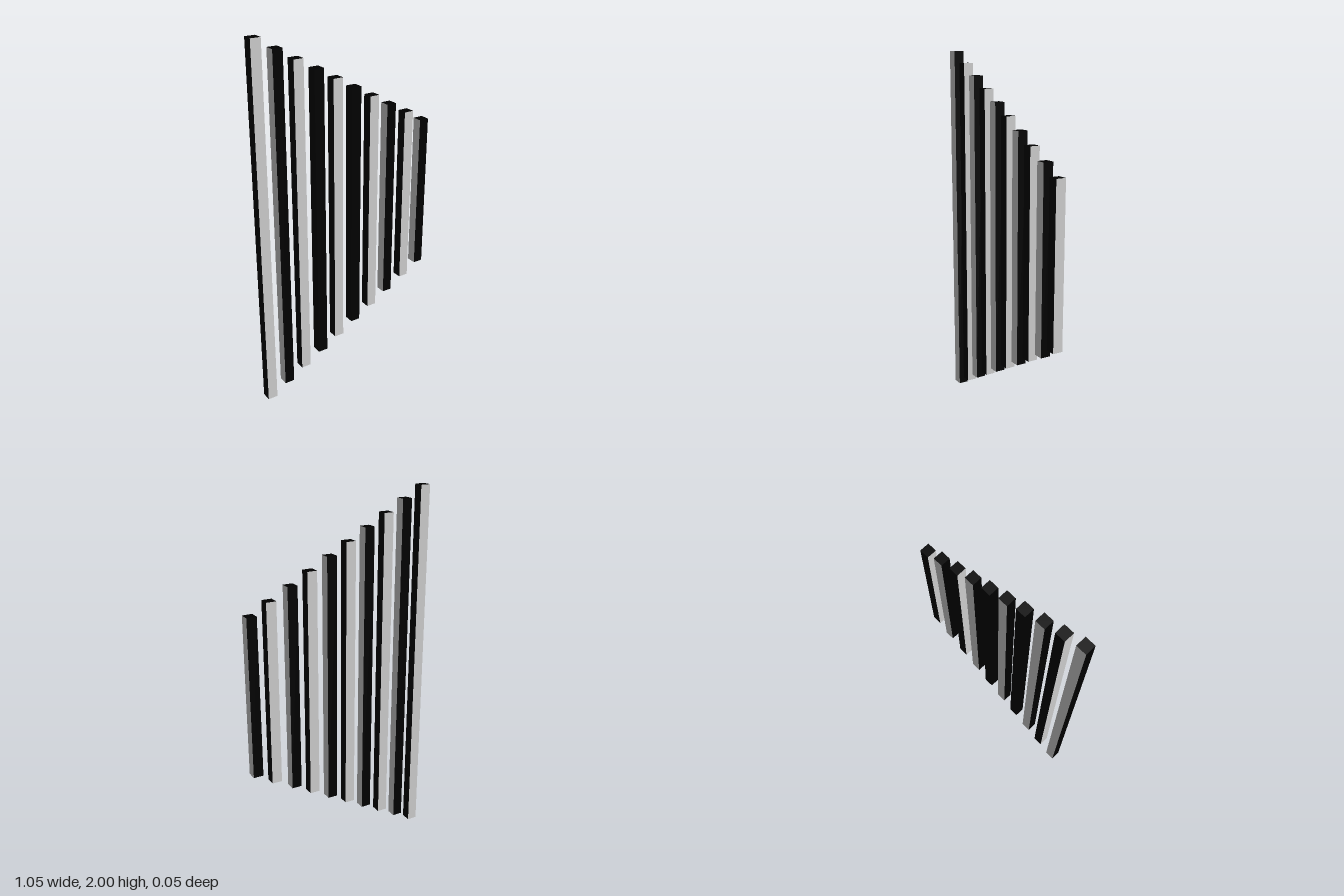
import * as THREE from 'three';

const WIDTH = 0.055;
const BAR_X = [-0.5, -0.39, -0.28, -0.167, -0.058, 0.053, 0.165, 0.275, 0.392, 0.498];
const BLACK_RIGHT_BARS = [3, 5]; // odd bars that are black on their -x side too

export function createModel() {
  const group = new THREE.Group();
  group.name = 'taperedBarRow';

  const grey = new THREE.MeshStandardMaterial({ color: 0xcccccc });
  const black = new THREE.MeshStandardMaterial({ color: 0x000000 });

  // Upright square bars, each shorter than the last, centred on the same height
  BAR_X.forEach((x, i) => {
    const height = 2 - i * 0.125;
    const even = i % 2 === 0;
    const frontBack = even ? grey : black;
    const left = even ? black : grey;
    const right = BLACK_RIGHT_BARS.includes(i) ? black : left;

    // Face order: +x, -x, top, bottom, front, back
    const bar = new THREE.Mesh(
      new THREE.BoxGeometry(WIDTH, height, WIDTH),
      [left, right, black, grey, frontBack, frontBack]
    );
    bar.name = `bar${i + 1}`;
    bar.position.set(x, 1, 0);
    group.add(bar);
  });

  return group;
}
